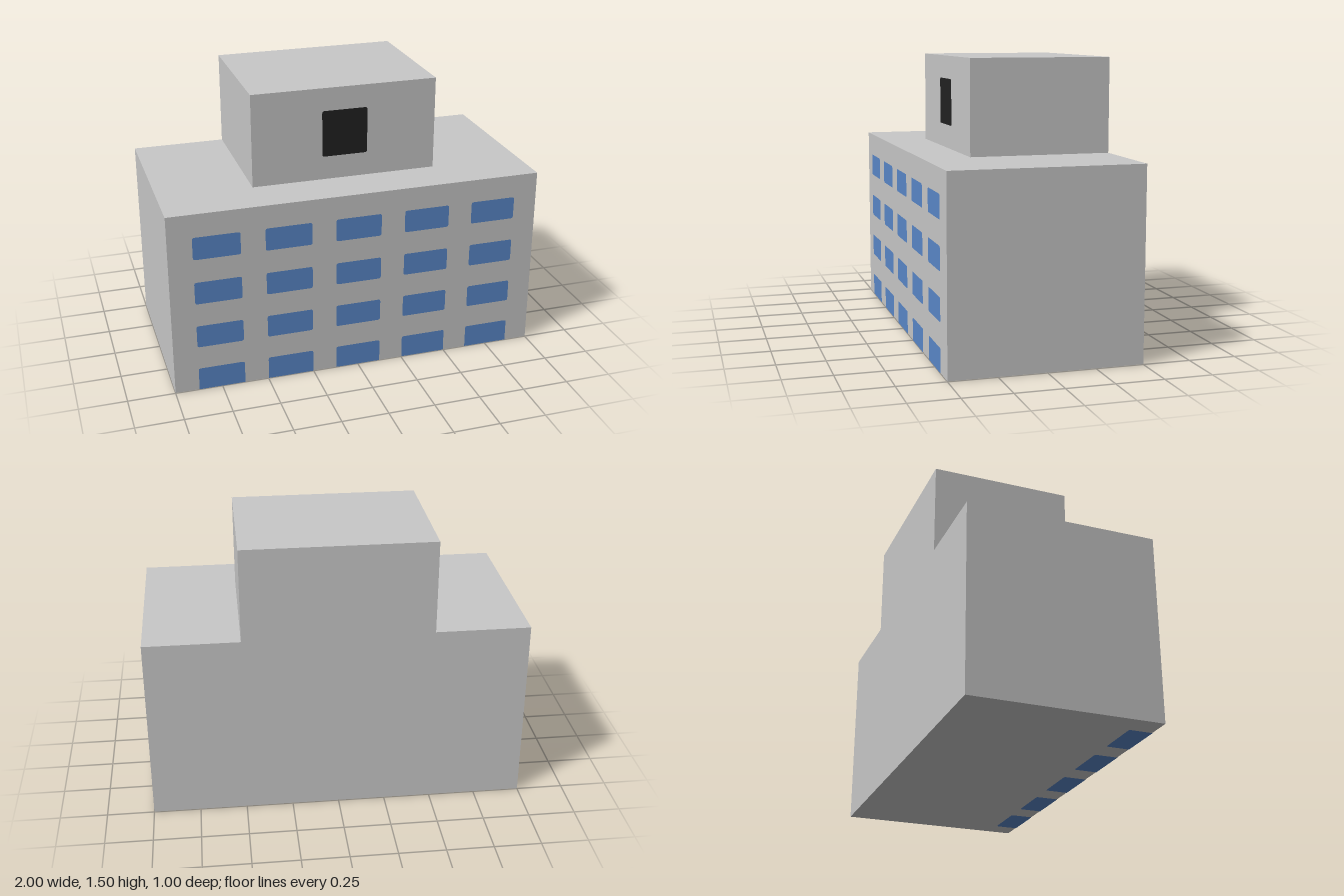
import * as THREE from 'three';

const mat = (name, color) => {
  const m = new THREE.MeshStandardMaterial({ color });
  m.name = name;
  return m;
};

// Flat plate with rounded corners; its origin is the middle of the lower edge
function paneGeometry(w, h, r, squareBase = false) {
  const x = w / 2, b = squareBase ? 0 : r;
  const s = new THREE.Shape();
  s.moveTo(-x + b, 0);
  s.lineTo(x - b, 0);
  if (b) s.quadraticCurveTo(x, 0, x, b);
  s.lineTo(x, h - r);
  s.quadraticCurveTo(x, h, x - r, h);
  s.lineTo(-x + r, h);
  s.quadraticCurveTo(-x, h, -x, h - r);
  s.lineTo(-x, b);
  if (b) s.quadraticCurveTo(-x, 0, -x + b, 0);
  return new THREE.ShapeGeometry(s, 4);
}

export function createModel() {
  const model = new THREE.Group();
  model.name = 'building';
  const wall = mat('concrete grey', 0xc8c8c8);
  const glass = mat('window blue', 0x5a88c9);
  const dark = mat('opening black', 0x222222);
  const gap = 0.002; // keeps plates just proud of the walls

  const add = (name, geometry, material, x, y, z) => {
    const mesh = new THREE.Mesh(geometry, material);
    mesh.name = name;
    mesh.position.set(x, y, z);
    model.add(mesh);
    return mesh;
  };

  // Main block and the smaller rooftop block, flush at the back
  add('mainBlock', new THREE.BoxGeometry(2, 1, 1), wall, 0, 0.5, 0);
  add('rooftopBlock', new THREE.BoxGeometry(1, 0.5, 0.75), wall, 0, 1.25, -0.125);

  // Four floors of five windows; the lowest row meets the ground
  const upper = paneGeometry(0.246, 0.123, 0.012);
  const ground = paneGeometry(0.246, 0.125, 0.012, true);
  for (let col = -2; col <= 2; col++) {
    const x = col * 0.375;
    add('groundWindow', ground, glass, x, 0, 0.5 + gap);
    for (let row = 1; row < 4; row++) {
      add('window', upper, glass, x, row * 0.25 + 0.002, 0.5 + gap);
    }
    // The ground windows fold under the front edge
    add('windowUnderside', ground, glass, x, -gap, 0.5).rotation.set(Math.PI / 2, 0, Math.PI);
  }

  // Square opening in the rooftop block
  add('rooftopOpening', paneGeometry(0.246, 0.25, 0.012), dark, 0, 1.127, 0.25 + gap);

  return model;
}
